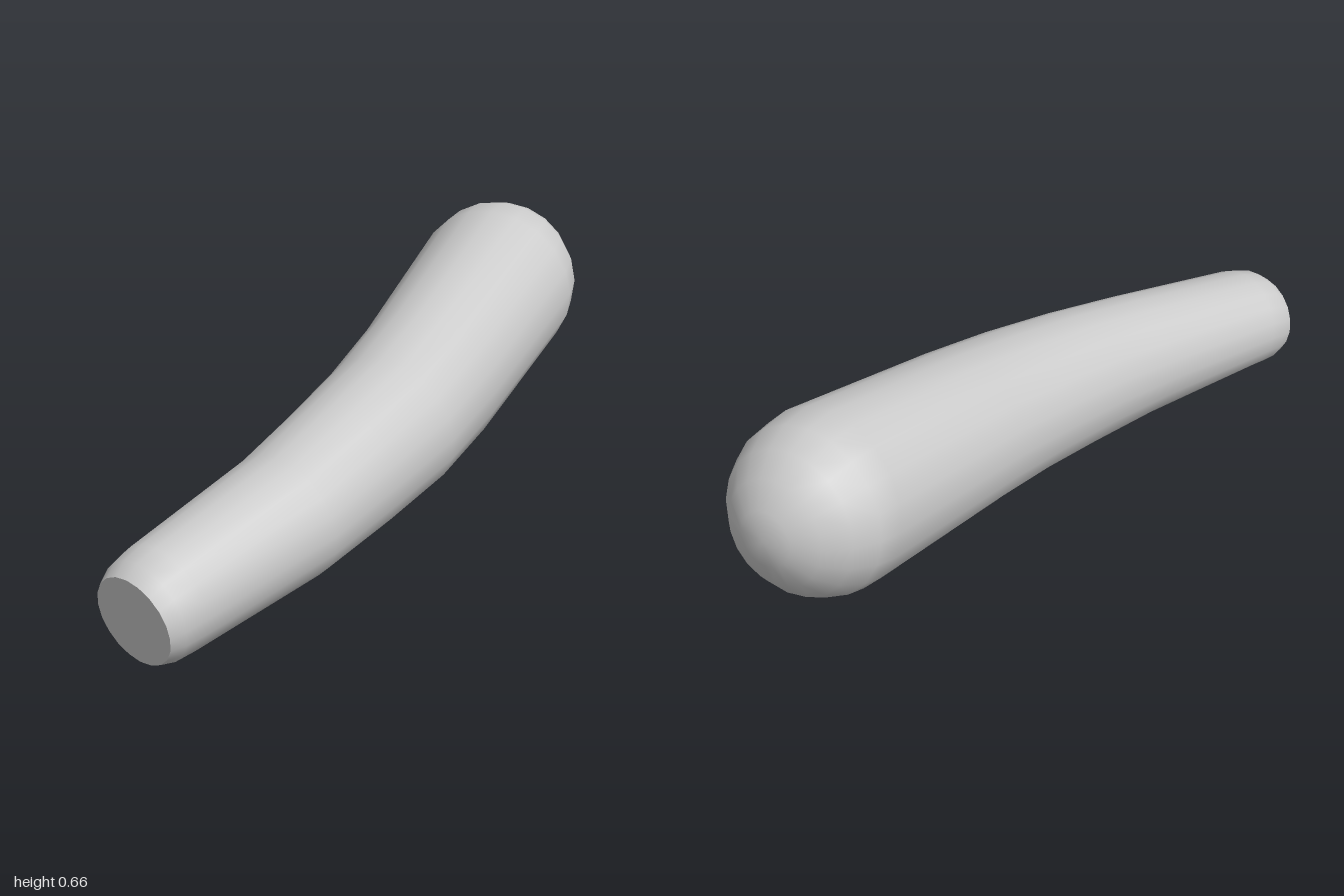
import * as THREE from 'three';

const SIDES = 20;
const v = (x, y, z) => new THREE.Vector3(x, y, z);

// Cross-sections of the shaft, front to back: centre x, y, z, half width, half height
const SECTIONS = [
  [-0.452, 0.132, 0.925, 0.130, 0.122],
  [-0.430, 0.142, 0.893, 0.146, 0.142],
  [-0.395, 0.154, 0.845, 0.155, 0.150],
  [-0.155, 0.203, 0.470, 0.180, 0.180],
  [-0.035, 0.240, 0.240, 0.192, 0.200],
  [0.070, 0.275, 0.020, 0.208, 0.212],
  [0.155, 0.315, -0.210, 0.215, 0.228],
  [0.318, 0.418, -0.740, 0.241, 0.246],
];

// One ring of points around a centre, square to the direction d
function ring(c, d, rx, ry) {
  const s = d.clone().cross(v(0, 1, 0)).normalize();
  const u = s.clone().cross(d).normalize();
  return Array.from({ length: SIDES }, (_, j) => {
    const a = (j / SIDES) * Math.PI * 2;
    return c.clone().addScaledVector(s, rx * Math.cos(a)).addScaledVector(u, ry * Math.sin(a));
  });
}

function geometryFrom(points, index) {
  const g = new THREE.BufferGeometry().setFromPoints(points);
  g.setIndex(index);
  g.computeVertexNormals();
  return g;
}

export function createModel() {
  const group = new THREE.Group();
  group.name = 'bentClub';
  const material = new THREE.MeshStandardMaterial({ color: 0xcccccc });
  const add = (name, geometry) => {
    const mesh = new THREE.Mesh(geometry, material);
    mesh.name = name;
    group.add(mesh);
  };

  // Shaft rings follow the bend of the centre line
  const centres = SECTIONS.map(([x, y, z]) => v(x, y, z));
  const last = SECTIONS.length - 1;
  const rings = SECTIONS.map(([, , , rx, ry], i) => {
    let d = centres[Math.min(i + 1, last)].clone().sub(centres[Math.max(i - 1, 0)]).normalize();
    if (i < 2) d = v(0.57, 0.13, -0.81).normalize();
    return ring(centres[i], d, rx, ry);
  });

  // Rounded back end
  const end = centres[last];
  const axis = v(0.24, 0.13, -0.96).normalize();
  const [, , , rx, ry] = SECTIONS[last];
  const STEPS = 5, depth = 0.255;
  for (let k = 1; k < STEPS; k++) {
    const t = (k / STEPS) * Math.PI / 2;
    const c = end.clone().addScaledVector(axis, depth * Math.sin(t));
    rings.push(ring(c, axis, rx * Math.cos(t), ry * Math.cos(t)));
  }

  // Skin joining the rings, closed by a tip at the back
  const points = rings.flat();
  const tip = points.length;
  points.push(end.clone().addScaledVector(axis, depth));
  const index = [];
  for (let i = 0; i < rings.length; i++) {
    for (let j = 0; j < SIDES; j++) {
      const a = i * SIDES + j, b = i * SIDES + (j + 1) % SIDES;
      if (i === rings.length - 1) index.push(a, tip, b);
      else index.push(a, a + SIDES, b, b, a + SIDES, b + SIDES);
    }
  }
  add('body', geometryFrom(points, index));

  // Flat face on the narrow front end
  const capIndex = [];
  for (let j = 0; j < SIDES; j++) capIndex.push(SIDES, j, (j + 1) % SIDES);
  add('frontCap', geometryFrom([...rings[0], centres[0]], capIndex));

  return group;
}
